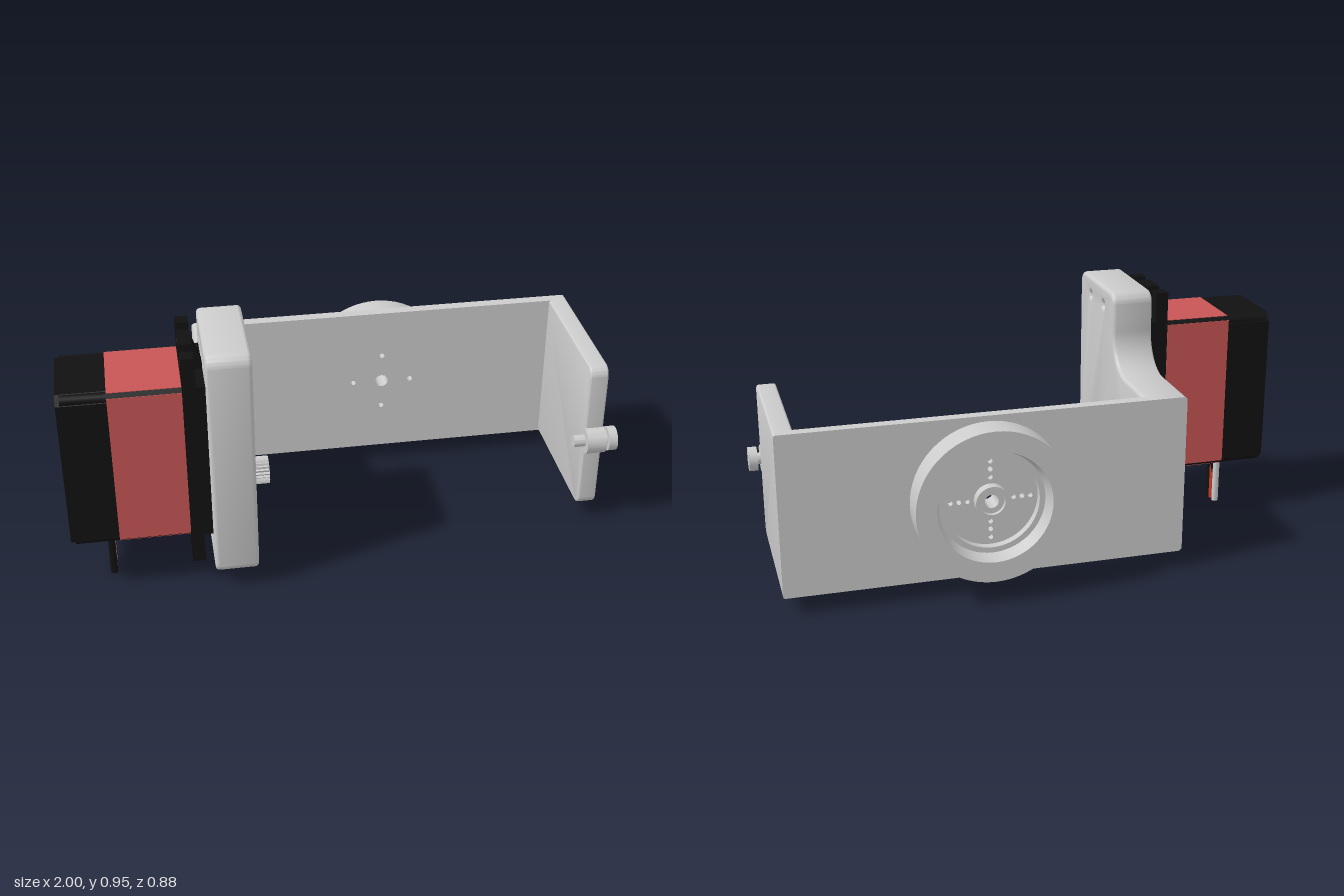
import * as THREE from 'three';
import { toCreasedNormals } from 'three/addons/utils/BufferGeometryUtils.js';

const mat = (color) => new THREE.MeshStandardMaterial({ color });
const GREY = mat(0xcccccc), BLACK = mat(0x111111), RED = mat(0xc85555);
const WIRE_RED = mat(0xc0392b), WIRE_WHITE = mat(0xd8d8d8);
const AXIS_Y = 0.365, AXIS_Z = 0.243, WHEEL_X = 0.225;

// Closed outline from [u, v, radius] corners, each rounded by its radius
function outline(points) {
  const s = new THREE.Shape(), n = points.length, k = 0.5523;
  points.forEach(([x, y, r = 0], i) => {
    const c = new THREE.Vector2(x, y);
    const toward = (p) => new THREE.Vector2(p[0], p[1]).sub(c).normalize();
    const a = toward(points[(i + n - 1) % n]), b = toward(points[(i + 1) % n]);
    const p = c.clone().addScaledVector(a, r), q = c.clone().addScaledVector(b, r);
    if (i === 0) s.moveTo(p.x, p.y); else s.lineTo(p.x, p.y);
    if (r > 0) {
      const p1 = c.clone().addScaledVector(a, r * (1 - k)), q1 = c.clone().addScaledVector(b, r * (1 - k));
      s.bezierCurveTo(p1.x, p1.y, q1.x, q1.y, q.x, q.y);
    }
  });
  s.closePath();
  return s;
}

const hole = (x, y, r) => new THREE.Path().absarc(x, y, r, 0, Math.PI * 2, true);
const disc = (x, y, r) => new THREE.Shape().absarc(x, y, r, 0, Math.PI * 2, false);

function extrude(shape, depth, bevel = 0) {
  return new THREE.ExtrudeGeometry(shape, {
    depth: depth - 2 * bevel, curveSegments: 16, bevelEnabled: bevel > 0,
    bevelThickness: bevel, bevelSize: bevel, bevelOffset: -bevel, bevelSegments: 4,
  }).translate(0, 0, bevel);
}

// Extrudes a (-z, y) outline from x0 to x1
const extrudeX = (shape, x0, x1, bevel) =>
  extrude(shape, x1 - x0, bevel).rotateY(Math.PI / 2).translate(x0, 0, 0);

// Cuts the rear end of a side plate square, flush with the back of the bracket
function squareRear(geo) {
  const p = geo.attributes.position;
  for (let i = 0; i < p.count; i++) p.setZ(i, Math.max(p.getZ(i), -0.335));
  return geo;
}

const cylX = (r, x0, x1, y, z, seg = 32) =>
  new THREE.CylinderGeometry(r, r, x1 - x0, seg).rotateZ(Math.PI / 2).translate((x0 + x1) / 2, y, z);

const box = (x0, x1, y0, y1, z0, z1) =>
  new THREE.BoxGeometry(x1 - x0, y1 - y0, z1 - z0).translate((x0 + x1) / 2, (y0 + y1) / 2, (z0 + z1) / 2);

// Rectangle in (-z, y) with chamfered corners
function chamferRect(z0, z1, y0, y1, c) {
  return outline([[-z1 + c, y0], [-z0 - c, y0], [-z0, y0 + c], [-z0, y1 - c],
    [-z0 - c, y1], [-z1 + c, y1], [-z1, y1 - c], [-z1, y0 + c]]);
}

export function createModel() {
  const model = new THREE.Group();
  const add = (parent, name, geo, material = GREY, crease = 0.6) => {
    const mesh = new THREE.Mesh(crease ? toCreasedNormals(geo, crease) : geo, material);
    mesh.name = name;
    parent.add(mesh);
    return mesh;
  };
  const group = (name) => {
    const g = new THREE.Group();
    g.name = name;
    model.add(g);
    return g;
  };

  // Bracket: L-shaped motor plate, back plate and bearing arm
  const bracket = group('bracket');
  const motorPlate = outline([
    [-0.44, 0.065, 0.045], [0.37, 0.065], [0.37, 0.665], [-0.045, 0.665, 0.14],
    [-0.045, 0.95, 0.045], [-0.44, 0.95, 0.045],
  ]);
  motorPlate.holes.push(hole(-AXIS_Z, AXIS_Y, 0.068));
  for (const dz of [-0.075, 0.075]) for (const y of [0.15, 0.88])
    motorPlate.holes.push(hole(-0.24 - dz, y, 0.014));
  add(bracket, 'motorPlate', squareRear(extrudeX(motorPlate, -0.505, -0.35, 0.014)));

  const backPlate = outline([[-0.48, 0.065], [0.94, 0.065], [0.94, 0.665], [-0.48, 0.665]]);
  backPlate.holes.push(hole(WHEEL_X, AXIS_Y, 0.025));
  for (let i = 0; i < 4; i++) {
    const a = i * Math.PI / 2;
    backPlate.holes.push(hole(WHEEL_X + 0.113 * Math.cos(a), AXIS_Y + 0.113 * Math.sin(a), 0.01));
  }
  add(bracket, 'backPlate', extrude(backPlate, 0.04).translate(0, 0, -0.335));

  const arm = outline([[-0.24, 0.065, 0.04], [0.36, 0.065], [0.36, 0.665], [-0.24, 0.665, 0.04]]);
  add(bracket, 'bearingArm', squareRear(extrudeX(arm, 0.885, 0.955, 0.008)));
  add(bracket, 'bearingBoss', cylX(0.05, 0.884, 0.956, AXIS_Y, AXIS_Z));

  // Pivot pin opposite the motor
  const pivot = group('pivotPin');
  add(pivot, 'pinShaft', cylX(0.022, 0.842, 0.975, AXIS_Y, AXIS_Z, 24));
  add(pivot, 'pinHead', cylX(0.045, 0.968, 1.0, AXIS_Y, AXIS_Z));

  // Round mount on the back: outer ring, drilled floor and hub
  const mount = group('roundMount');
  const place = (geo) => geo.rotateX(-Math.PI / 2).translate(WHEEL_X, AXIS_Y, -0.335);
  const ring = [[0.17, 0], [0.28, 0], [0.28, 0.105], [0.205, 0.105], [0.19, 0.055], [0.17, 0.055], [0.17, 0]];
  add(mount, 'mountRing', place(new THREE.LatheGeometry(ring.map(([r, h]) => new THREE.Vector2(r, h)), 64)), GREY, 0.4);
  const hub = [[0.025, 0], [0.06, 0], [0.06, 0.06], [0.045, 0.06], [0.045, 0.045], [0.025, 0.045], [0.025, 0]];
  add(mount, 'mountHub', place(new THREE.LatheGeometry(hub.map(([r, h]) => new THREE.Vector2(r, h)), 32)));
  const floor = disc(WHEEL_X, AXIS_Y, 0.175);
  floor.holes.push(hole(WHEEL_X, AXIS_Y, 0.025));
  for (let i = 0; i < 4; i++) for (const r of [0.083, 0.113, 0.143]) {
    const a = i * Math.PI / 2;
    floor.holes.push(hole(WHEEL_X + r * Math.cos(a), AXIS_Y + r * Math.sin(a), 0.009));
  }
  add(mount, 'mountFloor', extrude(floor, 0.025).translate(0, 0, -0.36));

  // Motor case: black rear cap, chamfered core with red side panels, black front
  const motor = group('motor');
  add(motor, 'rearCap', extrudeX(chamferRect(0.085, 0.39, 0.212, 0.818, 0.03), -1, -0.832), BLACK, 0.2);
  for (const z of [0.108, 0.367]) for (const y of [0.235, 0.795])
    add(motor, 'cornerScrew', cylX(0.022, -0.985, -0.835, y, z, 16), BLACK);
  add(motor, 'caseCore', extrudeX(chamferRect(0.087, 0.388, 0.214, 0.816, 0.013), -0.84, -0.575), BLACK, 0.2);
  add(motor, 'sidePanels', box(-0.832, -0.583, 0.227, 0.803, 0.085, 0.39), RED, 0);
  add(motor, 'endPanels', box(-0.832, -0.583, 0.212, 0.818, 0.1, 0.375), RED, 0);
  add(motor, 'caseFront', box(-0.55, -0.503, 0.212, 0.818, 0.087, 0.388), BLACK, 0);

  // Mounting flange with two open slots at each end
  const flangePoints = [];
  for (const [end, inner, s] of [[0.1, 0.17, 1], [0.93, 0.86, -1]]) {
    const edge = s * 0.15;
    flangePoints.push([-0.24 - edge, end]);
    for (const c of [-0.075 * s, 0.075 * s]) {
      const w = 0.025 * s;
      flangePoints.push([-0.24 + c - w, end], [-0.24 + c - w, inner, 0.02],
        [-0.24 + c + w, inner, 0.02], [-0.24 + c + w, end]);
    }
    flangePoints.push([-0.24 + edge, end]);
  }
  add(motor, 'mountingFlange', extrudeX(outline(flangePoints), -0.583, -0.537), BLACK);
  const rib = outline([[-0.56, 0.1], [-0.538, 0.1], [-0.503, 0.2], [-0.503, 0.83], [-0.538, 0.93], [-0.56, 0.93]]);
  add(motor, 'flangeRib', extrude(rib, 0.05).translate(0, 0, 0.215), BLACK, 0.2);

  // Output: black collar inside the plate and a splined hollow shaft
  add(motor, 'shaftCollar', cylX(0.067, -0.51, -0.4, AXIS_Y, AXIS_Z), BLACK);
  const spline = new THREE.Shape();
  for (let i = 0; i < 48; i++) {
    const a = i * Math.PI / 24, r = i % 2 ? 0.044 : 0.05;
    const x = -AXIS_Z + r * Math.cos(a), y = AXIS_Y + r * Math.sin(a);
    if (i) spline.lineTo(x, y); else spline.moveTo(x, y);
  }
  spline.closePath();
  spline.holes.push(hole(-AXIS_Z, AXIS_Y, 0.022));
  add(motor, 'outputShaft', extrudeX(spline, -0.42, -0.288), GREY, 0.4);

  // Three wires with a tapered strain relief
  const relief = new THREE.CylinderGeometry(0.03, 0.013, 0.1, 4, 1).rotateY(Math.PI / 4);
  add(motor, 'strainRelief', relief.scale(1, 1, 1.6).translate(-0.865, 0.165, AXIS_Z), BLACK, 0.2);
  [[0.275, BLACK], [0.243, WIRE_RED], [0.212, WIRE_WHITE]].forEach(([z, m]) =>
    add(motor, 'wire', new THREE.CylinderGeometry(0.013, 0.013, 0.215, 16).translate(-0.865, 0.1075, z), m));

  return model;
}
